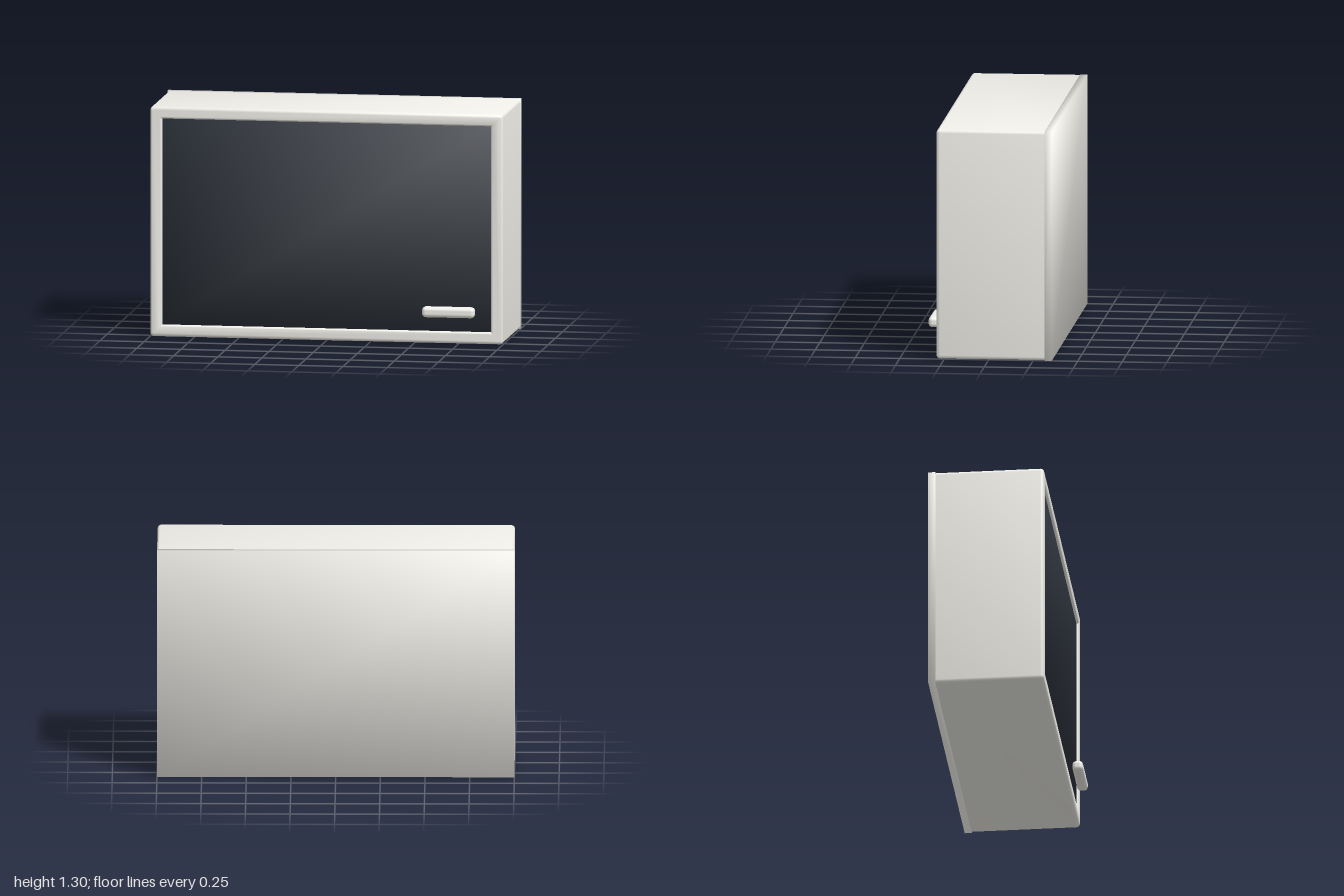
import * as THREE from 'three';
import { RoundedBoxGeometry } from 'three/addons/geometries/RoundedBoxGeometry.js';
import { toCreasedNormals } from 'three/addons/utils/BufferGeometryUtils.js';

const W = 2, H = 1.3, FRONT = 0.295, BACK = -0.355, SEAM = -0.315;

// Slab shaded softly: every corner normal points diagonally outwards
function softBox(w, h, d) {
  const geometry = new THREE.BoxGeometry(w, h, d);
  const { position, normal } = geometry.attributes;
  const n = new THREE.Vector3();
  for (let i = 0; i < position.count; i++) {
    n.set(Math.sign(position.getX(i)), Math.sign(position.getY(i)), Math.sign(position.getZ(i))).normalize();
    normal.setXYZ(i, n.x, n.y, n.z);
  }
  return geometry;
}

// Points round a rectangle moved inwards by inset, with rounded corners
function ring(inset, z) {
  const points = [], radius = 0.02, steps = 4;
  const reach = Math.max(radius, inset), r = Math.max(radius - inset, 0);
  for (let corner = 0; corner < 4; corner++) {
    const sx = corner === 0 || corner === 3 ? 1 : -1, sy = corner < 2 ? 1 : -1;
    for (let k = 0; k <= steps; k++) {
      const a = (corner + k / steps) * Math.PI / 2;
      points.push([sx * (W / 2 - reach) + r * Math.cos(a), sy * (H / 2 - reach) + r * Math.sin(a), z]);
    }
  }
  return points;
}

// Sweeps a profile of [inset, z] round the rectangle
function rectangularSweep(profile) {
  const rings = profile.map(([inset, z]) => ring(inset, z));
  const count = rings[0].length, index = [];
  for (let i = 0; i < rings.length - 1; i++) {
    for (let j = 0; j < count; j++) {
      const next = (j + 1) % count;
      const a = i * count + j, b = i * count + next;
      index.push(a, b, b + count, a, b + count, a + count);
    }
  }
  const geometry = new THREE.BufferGeometry();
  geometry.setAttribute('position', new THREE.Float32BufferAttribute(rings.flat(2), 3));
  geometry.setIndex(index);
  return toCreasedNormals(geometry, 0.6);
}

export function createModel() {
  const model = new THREE.Group();
  const shell = new THREE.MeshStandardMaterial({ color: 0xf0efe9 });
  const dark = new THREE.MeshStandardMaterial({ color: 0x2a2f38 });

  function add(name, geometry, material, x, y, z) {
    const mesh = new THREE.Mesh(geometry, material);
    mesh.name = name;
    mesh.position.set(x, y, z);
    model.add(mesh);
  }

  // Casing: side walls, rounded front rim and the rim's inner lip
  const outer = 0.02, inner = 0.016, rim = 0.068, steps = 5;
  const profile = [[0, SEAM]];
  for (let k = 0; k <= steps; k++) {
    const a = k / steps * Math.PI / 2;
    profile.push([outer * (1 - Math.cos(a)), FRONT - outer * (1 - Math.sin(a))]);
  }
  for (let k = 0; k <= steps; k++) {
    const a = k / steps * Math.PI / 2;
    profile.push([rim - inner * (1 - Math.sin(a)), FRONT - inner * (1 - Math.cos(a))]);
  }
  profile.push([rim, 0.25]);
  add('casing', rectangularSweep(profile), shell, 0, H / 2, 0);

  // Back panel
  add('backPanel', softBox(W, H, SEAM - BACK), shell, 0, H / 2, (SEAM + BACK) / 2);

  // Dark front panel, slightly recessed in the frame
  add('frontPanel', softBox(1.87, 1.17, 0.03), dark, 0, H / 2, 0.265);

  // Small rounded bar handle near the lower corner of the front
  add('handle', new RoundedBoxGeometry(0.298, 0.06, 0.06, 5, 0.022), shell, 0.698, 0.182, 0.325);

  return model;
}
